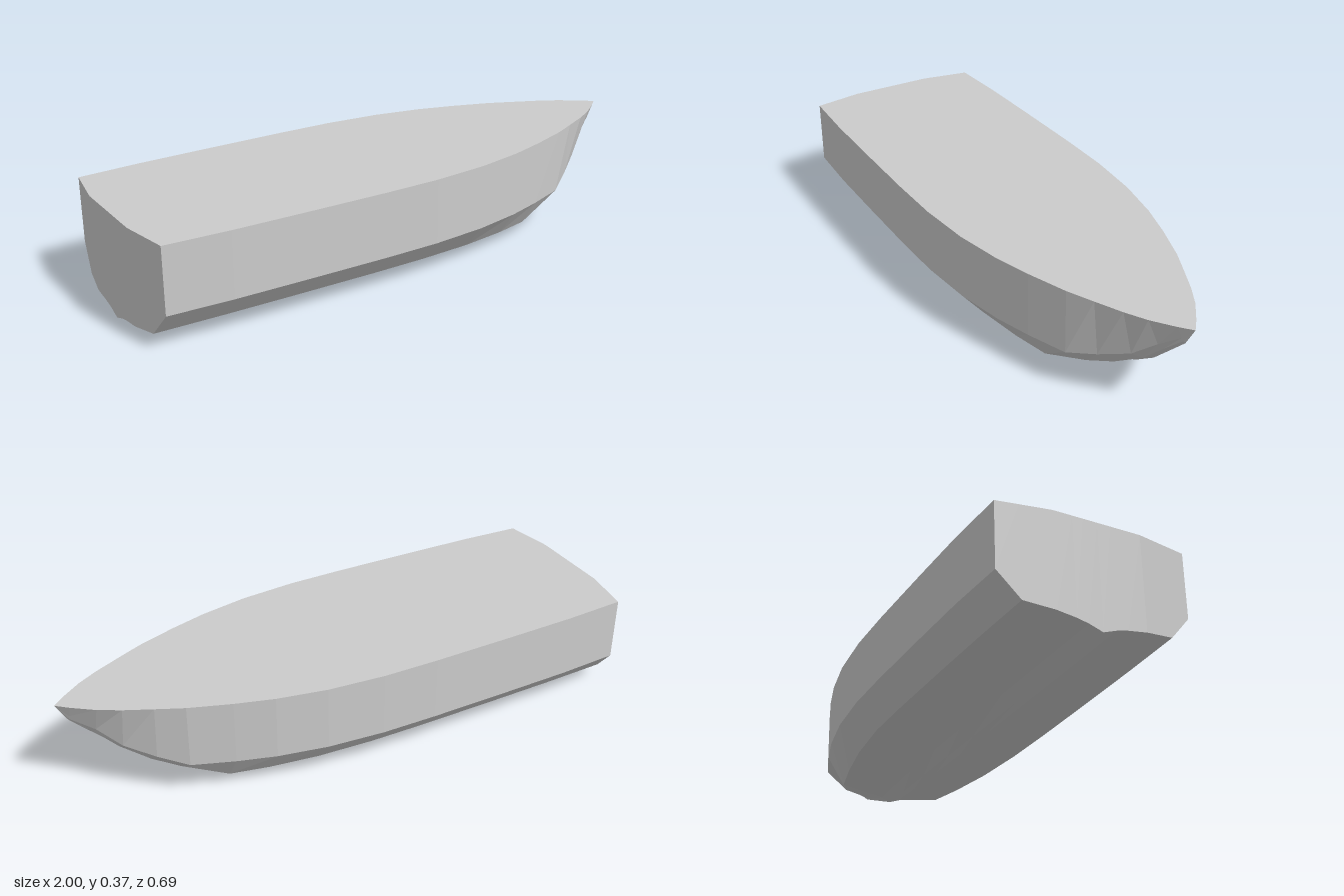
import * as THREE from 'three';

const DECK_Y = 0.365;

// Stations from stern to bow:
// [x, keel y, lower chine z, lower chine y, upper chine z, upper chine y, deck z]
const STATIONS = [
  [-0.97, 0, 0.25, 0.05, 0.325, 0.137, 0.325],
  [-0.75, 0, 0.258, 0.05, 0.337, 0.137, 0.337],
  [-0.5, 0, 0.263, 0.05, 0.342, 0.137, 0.342],
  [-0.2, 0, 0.267, 0.05, 0.346, 0.137, 0.346],
  [0, 0, 0.266, 0.05, 0.344, 0.137, 0.344],
  [0.2, 0, 0.25, 0.046, 0.327, 0.137, 0.327],
  [0.37, 0, 0.221, 0.042, 0.294, 0.137, 0.294],
  [0.5, 0.001, 0.19, 0.04, 0.255, 0.137, 0.256],
  [0.64, 0.055, 0.125, 0.078, 0.205, 0.138, 0.207],
  [0.73, 0.09, 0.085, 0.115, 0.148, 0.166, 0.166],
  [0.82, 0.155, 0.042, 0.17, 0.088, 0.203, 0.124],
  [0.89, 0.225, 0.024, 0.24, 0.045, 0.265, 0.085],
  [0.96, 0.295, 0.008, 0.305, 0.014, 0.32, 0.034],
  [1, DECK_Y, 0, DECK_Y, 0, DECK_Y, 0],
];

// The stern bows out gently towards the centreline
const sternX = (z) => -1 + 0.03 * Math.max(0, (z - 0.15) / 0.175);

// Half cross-section from keel to deck edge
function section([x, keelY, lowZ, lowY, highZ, highY, deckZ], index) {
  const rise = (t) => keelY + (lowY - keelY) * t;
  const points = [
    [0, keelY],
    [lowZ * 0.19, rise(0.34)],
    [lowZ * 0.34, rise(0.51)],
    [lowZ * 0.6, rise(0.7)],
    [lowZ, lowY],
    [highZ, highY],
    [deckZ, DECK_Y],
  ];
  return points.map(([z, y]) => new THREE.Vector3(index === 0 ? sternX(z) : x, y, z));
}

const mirror = (p) => new THREE.Vector3(p.x, p.y, -p.z);
const atDeck = (p) => new THREE.Vector3(p.x, DECK_Y, p.z);

// Collects faces, dropping the ones that collapse to a line
function faceList() {
  const positions = [];
  const triangle = (a, b, c) => {
    if (new THREE.Triangle(a, b, c).getArea() < 1e-8) return;
    for (const p of [a, b, c]) positions.push(p.x, p.y, p.z);
  };
  const quad = (a, b, c, d) => {
    triangle(a, b, c);
    triangle(a, c, d);
  };
  const quadBothSides = (a, b, c, d) => {
    quad(a, b, c, d);
    quad(mirror(d), mirror(c), mirror(b), mirror(a));
  };
  const mesh = (name, material) => {
    const geometry = new THREE.BufferGeometry();
    geometry.setAttribute('position', new THREE.Float32BufferAttribute(positions, 3));
    geometry.computeVertexNormals();
    const result = new THREE.Mesh(geometry, material);
    result.name = name;
    return result;
  };
  return { quad, quadBothSides, mesh };
}

export function createModel() {
  const group = new THREE.Group();
  group.name = 'boatHull';
  const material = new THREE.MeshStandardMaterial({ color: 0xcccccc, flatShading: true });
  const rings = STATIONS.map(section);
  const last = rings[0].length - 1;

  // Bottom, chines and topsides, closing to the raked stem
  const hull = faceList();
  for (let i = 0; i < rings.length - 1; i++) {
    for (let j = 0; j < last; j++) {
      hull.quadBothSides(rings[i][j], rings[i + 1][j], rings[i + 1][j + 1], rings[i][j + 1]);
    }
  }
  group.add(hull.mesh('hull', material));

  // Upright transom, following the curve of the stern
  const transom = faceList();
  const stern = rings[0];
  for (let j = 0; j < last - 1; j++) {
    transom.quadBothSides(stern[j], stern[j + 1], atDeck(stern[j + 1]), atDeck(stern[j]));
  }
  group.add(transom.mesh('transom', material));

  // Flat deck, from the stern curve to the bow point
  const deck = faceList();
  const edge = [...stern.slice(0, last).map(atDeck), ...rings.slice(1).map((ring) => ring[last])];
  for (let i = 0; i < edge.length - 1; i++) {
    deck.quad(edge[i], edge[i + 1], mirror(edge[i + 1]), mirror(edge[i]));
  }
  group.add(deck.mesh('deck', material));

  return group;
}
